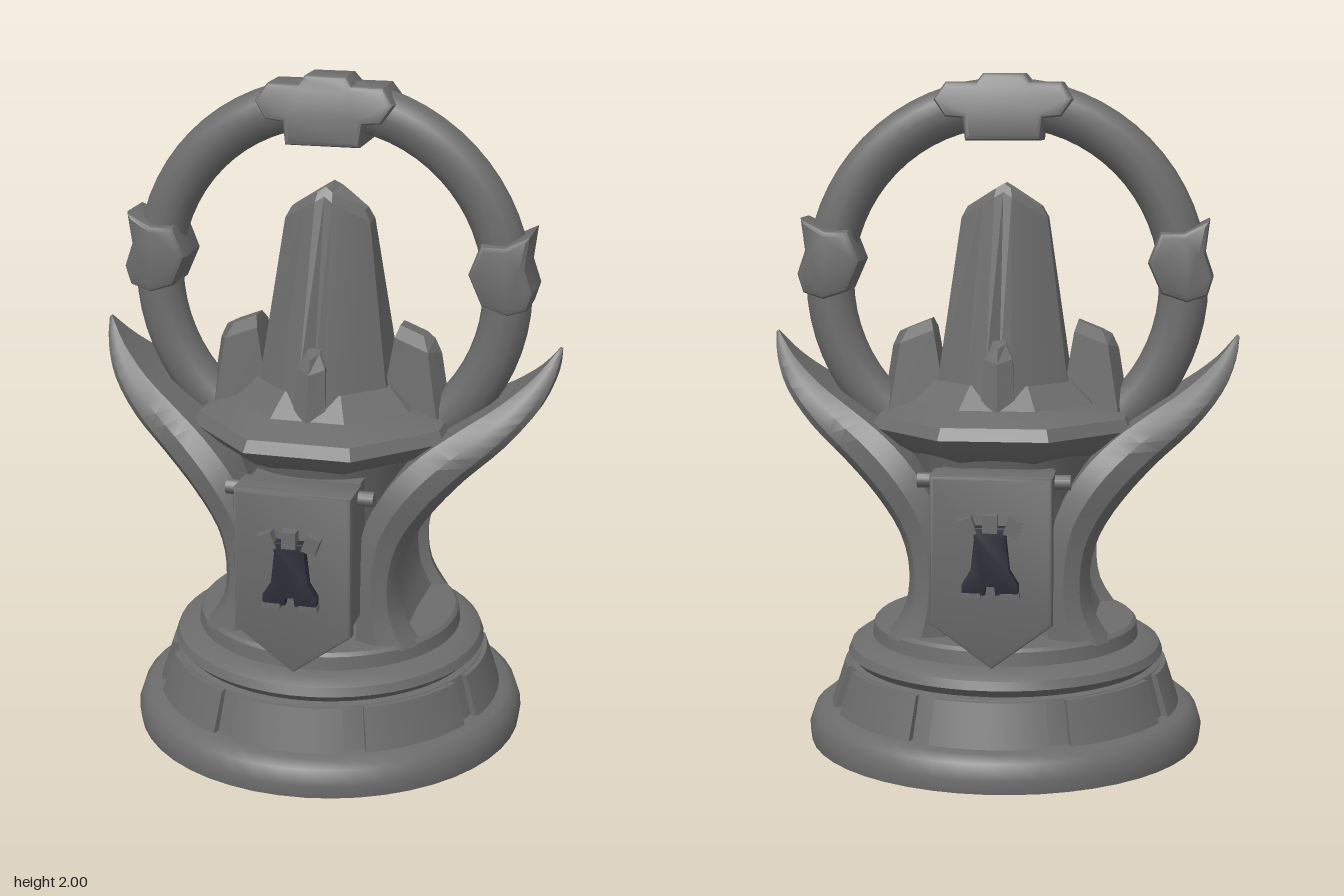
import * as THREE from 'three';
import { toCreasedNormals } from 'three/addons/utils/BufferGeometryUtils.js';

const stone = new THREE.MeshStandardMaterial({ color: 0x6c6c6c });
stone.name = 'grey stone';
const dark = new THREE.MeshStandardMaterial({ color: 0x2d2e39 });
dark.name = 'dark slate';

function add(parent, name, geometry, material = stone, crease = 0.6) {
  const mesh = new THREE.Mesh(toCreasedNormals(geometry, crease), material);
  mesh.name = name;
  parent.add(mesh);
  return mesh;
}

const lathe = (pts, segs = 48, start = 0) =>
  new THREE.LatheGeometry(pts.map(([r, y]) => new THREE.Vector2(r, y)), segs, start);

const outline = (pts) => new THREE.Shape(pts.map(([x, y]) => new THREE.Vector2(x, y)));

// Plate between two depths with a small bevel
function plate(pts, z0, z1, bevel = 0.01) {
  const g = new THREE.ExtrudeGeometry(outline(pts), {
    depth: z1 - z0 - 2 * bevel, bevelEnabled: bevel > 0, bevelThickness: bevel,
    bevelSize: bevel, bevelOffset: -bevel, bevelSegments: 2, curveSegments: 6,
  });
  return g.translate(0, 0, z0 + bevel);
}

// Skin between equal-length closed rings, with fan caps
function loft(rings) {
  const n = rings[0].length, pos = rings.flat(2), idx = [];
  for (let i = 0; i < rings.length - 1; i++)
    for (let j = 0; j < n; j++) {
      const k = (j + 1) % n, a = i * n, b = a + n;
      idx.push(a + j, a + k, b + k, a + j, b + k, b + j);
    }
  [0, rings.length - 1].forEach((r, end) => {
    const c = pos.length / 3;
    for (let d = 0; d < 3; d++) pos.push(rings[r].reduce((s, p) => s + p[d], 0) / n);
    for (let j = 0; j < n; j++) {
      const p = r * n + j, q = r * n + (j + 1) % n;
      end ? idx.push(c, p, q) : idx.push(c, q, p);
    }
  });
  const g = new THREE.BufferGeometry();
  g.setAttribute('position', new THREE.Float32BufferAttribute(pos, 3));
  g.setIndex(idx);
  g.computeVertexNormals();
  return g;
}

const mirrorPts = (half) => [...half, ...half.slice().reverse().map(([x, y]) => [-x, y])];

function wingGeometry() {
  // outer x, outer y, inner x, inner y, half width
  const keys = [
    [.335, .35, .15, .35, .30], [.28, .44, .15, .45, .295], [.268, .55, .15, .57, .29],
    [.295, .66, .17, .72, .285], [.365, .77, .24, .85, .28], [.46, .87, .33, .945, .25],
    [.57, .97, .43, 1.015, .20], [.65, 1.07, .54, 1.085, .135], [.687, 1.16, .63, 1.16, .065],
    [.697, 1.23, .69, 1.235, .004],
  ];
  const at = (t) => {
    const f = t * (keys.length - 1), i = Math.min(Math.floor(f), keys.length - 2), s = f - i;
    const p = [keys[Math.max(i - 1, 0)], keys[i], keys[i + 1], keys[Math.min(i + 2, keys.length - 1)]];
    return keys[0].map((_, k) => 0.5 * (2 * p[1][k] + (p[2][k] - p[0][k]) * s
      + (2 * p[0][k] - 5 * p[1][k] + 4 * p[2][k] - p[3][k]) * s * s
      + (3 * p[1][k] - p[0][k] - 3 * p[2][k] + p[3][k]) * s * s * s));
  };
  const rings = [];
  for (let i = 0; i <= 27; i++) {
    const [ox, oy, ix, iy, w] = at(i / 27);
    const arch = Math.min(1, Math.max(0, (0.92 - oy) / 0.14));
    const inset = 0.25 * Math.sqrt(arch), e = 0.3 + 0.33 * Math.sqrt(arch);
    const half = [[.92, 0], [1, .4], [.93, .78], [.8, .95], [e + .05, 1],
      [e, 1 - inset], [e * .5, 1 - inset * 1.1]];
    const section = [...half, [0, 1 - inset * 1.15], ...half.slice().reverse().map(([u, f]) => [-u, f])];
    rings.push(section.map(([u, f]) => [ix + (ox - ix) * f, iy + (oy - iy) * f, w * u]));
  }
  return loft(rings);
}

// Upright faceted shard leaning towards the centre, pointed along its inner side
function shardGeometry(r0, r1, top, w, y0 = 0.95) {
  const ring = (a, b, y, k, slope) => [[a, w * k], [b - .03, w * k], [b, 0], [b - .03, -w * k], [a, -w * k]]
    .map(([x, z]) => [x, y - slope * (x - a), z]);
  return loft([ring(r0 - .05, r1, y0, 1, 0), ring(r0, r1 - .04, top - .03, .75, .4), ring(r0 + .01, r1 - .06, top, .35, .4)]);
}

function spireGeometry() {
  const ring = (a, b, y, slope) => {
    const q = [[0, .86], [.2, 1], [.5, .82], [1, .4]];
    const s = [...q, ...q.slice(1).reverse().map(([x, z]) => [x, -z]),
      [0, -.86], ...q.slice(1).map(([x, z]) => [-x, -z]), ...q.slice(1).reverse().map(([x, z]) => [-x, z])];
    return s.map(([x, z]) => [x * a, y - slope * Math.abs(x * a), z * b]);
  };
  return loft([ring(.225, .27, .98, 0), ring(.19, .225, 1.12, 0), ring(.128, .08, 1.655, .6), ring(.11, .06, 1.68, .62)]);
}

export function createModel() {
  const model = new THREE.Group();
  model.name = 'trophy';

  // Stepped round base
  add(model, 'base', lathe([[0, 0], [.595, 0], [.6, .04], [.585, .085], [.56, .105], [.51, .11],
    [.475, .235], [.455, .24], [.48, .265], [.47, .29], [.44, .31], [.405, .315], [.4, .355], [.39, .365], [0, .365]]));

  // Raised blocks around the lower tier
  const arc = new THREE.Shape();
  arc.absarc(0, 0, .53, -.33, .33, false);
  arc.absarc(0, 0, .46, .33, -.33, true);
  for (let i = 0; i < 8; i++) {
    const g = new THREE.ExtrudeGeometry(arc, { depth: .125, bevelEnabled: false, curveSegments: 8 });
    g.rotateX(-Math.PI / 2);
    const p = g.attributes.position;
    for (let k = 0; k < p.count; k++) {
      const s = 1 - .6 * p.getY(k);
      p.setXYZ(k, p.getX(k) * s, p.getY(k) + .108, p.getZ(k) * s);
    }
    add(model, 'baseBlock', g).rotation.y = i * Math.PI / 4;
  }

  // Stem, rocky bowl and crystals
  add(model, 'stem', lathe([[.27, .36], [.23, .45], [.215, .6], [.24, .75], [.29, .9]], 32));
  add(model, 'rockBowl', lathe([[0, .87], [.27, .875], [.36, .915], [.415, .965], [.395, 1.0],
    [.29, 1.035], [.22, 1.1], [0, 1.14]], 8, Math.PI / 8), stone, 0.35);
  add(model, 'spire', spireGeometry(), stone, 0.2);
  for (let i = 0; i < 4; i++) {
    const g = i % 2 ? shardGeometry(.17, .29, 1.23, .055) : shardGeometry(.21, .38, 1.275, .08);
    add(model, 'sideCrystal', g, stone, 0.2).rotation.y = i * Math.PI / 2;
  }

  // Halo ring and its clasps
  const ring = add(model, 'haloRing', new THREE.TorusGeometry(.53, .073, 12, 64), stone, 0.7);
  ring.position.y = 1.385;
  ring.scale.z = 0.9;
  const clasp = plate(mirrorPts([[.06, 2], [.08, 1.975], [.17, 1.975], [.205, 1.925], [.17, 1.875],
    [.118, 1.87], [.11, 1.805]]), -.105, .105, .015);
  const cp = clasp.attributes.position;
  for (let k = 0; k < cp.count; k++)
    cp.setZ(k, cp.getZ(k) * Math.min(1, 1 - (cp.getY(k) - 1.85) * 2.8));
  add(model, 'topClasp', clasp);
  const sidePts = [[.46, 1.54], [.425, 1.45], [.465, 1.36], [.54, 1.335], [.6, 1.355],
    [.617, 1.41], [.593, 1.48], [.605, 1.577], [.53, 1.54]];
  for (const turn of [0, Math.PI]) {
    add(model, 'sideClasp', plate(sidePts, -.082, .082, .018)).rotation.y = turn;
    add(model, 'wing', wingGeometry()).rotation.y = turn;

    // Hanging banner with its rod and tower crest
    const banner = new THREE.Group();
    banner.name = 'banner';
    banner.rotation.y = turn;
    model.add(banner);
    const cloth = [[-.175, .875], [-.175, .445], [0, .315], [.175, .445], [.175, .875]];
    add(banner, 'bannerBack', plate(cloth.map(([x, y]) => [x * .93, .6 + (y - .6) * .96]), .22, .42, 0));
    add(banner, 'bannerFront', plate(cloth, .395, .438, .012));
    add(banner, 'bannerFold', plate([[-.175, .8], [.175, .8], [.175, .875], [-.175, .875]], .3, .436, .012));
    const rod = add(banner, 'bannerRod', new THREE.CylinderGeometry(.022, .022, .44, 12));
    rod.rotation.z = Math.PI / 2;
    rod.position.set(0, .845, .345);
    add(banner, 'crestTower', plate(mirrorPts([[.05, .735], [.045, .7], [.055, .61], [.08, .57],
      [.08, .54], [.015, .54], [.012, .565]]), .43, .468, .004), dark);
    for (const [x, y, a] of [[-.065, .735, .35], [0, .745, 0], [.065, .735, -.35]]) {
      const m = add(banner, 'crestBattlement', new THREE.BoxGeometry(.042, .05, .045));
      m.position.set(x, y, .452);
      m.rotation.z = a;
    }
    for (const x of [-.055, .055]) {
      const m = add(banner, 'crestFoot', new THREE.BoxGeometry(.055, .016, .04));
      m.position.set(x, .538, .45);
    }
  }
  return model;
}
